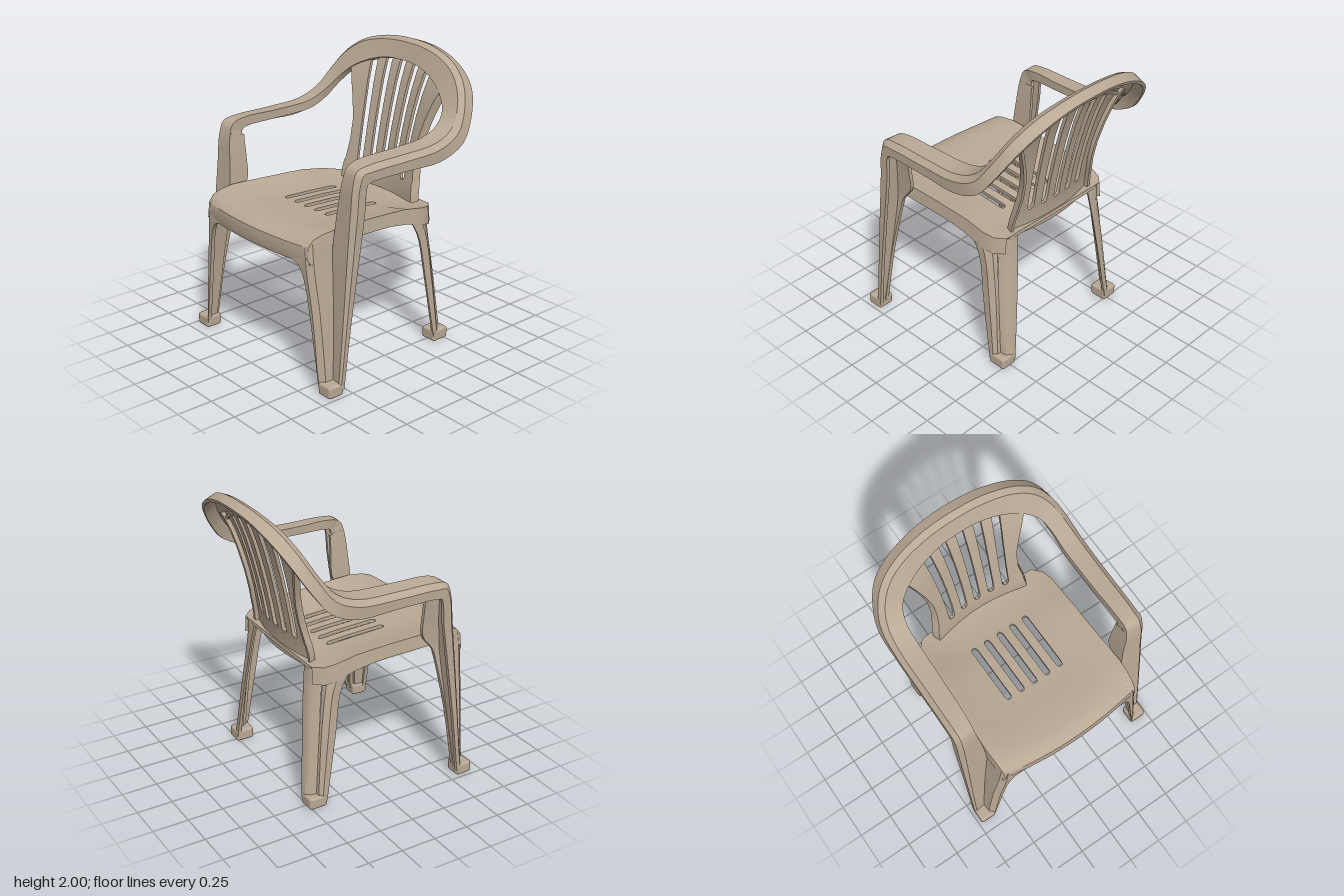
import * as THREE from 'three';
import { toCreasedNormals } from 'three/addons/utils/BufferGeometryUtils.js';
import { RoundedBoxGeometry } from 'three/addons/geometries/RoundedBoxGeometry.js';

const plastic = new THREE.MeshStandardMaterial({ color: 0xb9a894 });
plastic.name = 'beige plastic';

function makeMesh(name, points, index) {
  const geo = new THREE.BufferGeometry().setFromPoints(points);
  geo.setIndex(index);
  const mesh = new THREE.Mesh(toCreasedNormals(geo, 0.6), plastic);
  mesh.name = name;
  return mesh;
}

// Sweeps a channel section with a bevelled corner.
// Each station: inner edge, corner, skirt edge, inner lip depth.
function channel(name, stations, steps, t = 0.024) {
  const curves = [0, 1, 2].map((k) =>
    new THREE.CatmullRomCurve3(stations.map((s) => new THREE.Vector3(...s[k]))));
  const lips = new THREE.CatmullRomCurve3(stations.map((s, i) => new THREE.Vector3(i, s[3] ?? 0.028, 0)));
  const points = [], index = [], n = 9;
  for (let j = 0; j <= steps; j++) {
    const [I, O, S] = curves.map((c) => c.getPoint(j / steps));
    const lip = lips.getPoint(j / steps).y, bevel = Math.min(0.035, 0.35 * O.distanceTo(S));
    const u = O.clone().sub(I).normalize(), v = S.clone().sub(O).normalize();
    const at = (p, a, b) => p.clone().addScaledVector(u, a).addScaledVector(v, b);
    points.push(I, at(O, -bevel, 0), at(O, 0, bevel), S, at(S, -t, 0),
      at(O, -t, t), at(I, t, t), at(I, t, lip), at(I, 0, lip));
    if (j === 0) continue;
    for (let k = 0; k < n; k++) {
      const a = (j - 1) * n + k, b = (j - 1) * n + (k + 1) % n;
      index.push(a, b, b + n, a, b + n, a + n);
    }
  }
  const e = steps * n;
  for (const [a, b, c] of [[0, 1, 2], [0, 2, 5], [2, 3, 5], [3, 4, 5], [0, 5, 6], [0, 6, 7], [0, 7, 8]]) {
    index.push(c, b, a, e + a, e + b, e + c);
  }
  // Turn the faces outward whichever way the sweep runs
  let volume = 0;
  const cross = new THREE.Vector3();
  for (let i = 0; i < index.length; i += 3) {
    volume += points[index[i]].dot(cross.crossVectors(points[index[i + 1]], points[index[i + 2]]));
  }
  if (volume < 0) index.reverse();
  return makeMesh(name, points, index);
}

// Thin shell over a grid of points, leaving out the cells marked as holes
function shell(name, cols, rows, place, isHole, t) {
  const top = [], quads = [];
  for (let j = 0; j < rows; j++) for (let i = 0; i < cols; i++) top.push(place(i, j));
  for (let j = 0; j < rows - 1; j++) {
    for (let i = 0; i < cols - 1; i++) {
      if (isHole(i, j)) continue;
      const a = j * cols + i;
      quads.push([a, a + cols, a + cols + 1, a + 1]);
    }
  }
  const index = [], edges = new Map(), n = top.length;
  for (const q of quads) {
    index.push(q[0], q[1], q[2], q[0], q[2], q[3]);
    q.forEach((p, k) => edges.set(p + '_' + q[(k + 1) % 4], [p, q[(k + 1) % 4]]));
  }
  const sheet = new THREE.BufferGeometry().setFromPoints(top);
  sheet.setIndex([...index]);
  sheet.computeVertexNormals();
  const normal = new THREE.Vector3();
  const under = top.map((p, i) =>
    p.clone().addScaledVector(normal.fromBufferAttribute(sheet.attributes.normal, i), -t));
  for (const [a, b, c, d] of quads) index.push(n + c, n + b, n + a, n + d, n + c, n + a);
  for (const [p, q] of edges.values()) {
    if (!edges.has(q + '_' + p)) index.push(p, p + n, q + n, p, q + n, q);
  }
  return makeMesh(name, [...top, ...under], index);
}

const mirrorStation = ([I, O, S, lip]) =>
  [...[I, O, S].map(([x, y, z]) => [-x, y, z]), lip];

// Upright part of the front leg: height, inner x, front z, skirt z, lip depth
const uprights = [
  [0.04, 0.655, 0.585, 0.555, 0.03], [0.5, 0.60, 0.54, 0.495, 0.03],
  [0.93, 0.55, 0.50, 0.43, 0.07], [1.06, 0.555, 0.487, 0.41, 0.15],
  [1.2, 0.565, 0.473, 0.39, 0.142], [1.375, 0.585, 0.455, 0.37, 0.122],
].map(([y, x, z, skirt, lip]) => [[x, y, z], [0.73, y, z + 0.01], [0.73, y, skirt], lip]);

// Level part of the armrest: z, inner x, height, lip depth
const arm = [
  [0.34, 0.585, 1.495, 0.07], [0.05, 0.575, 1.50, 0.06], [-0.23, 0.57, 1.515, 0.06],
].map(([z, x, y, lip]) => [[x, y, z], [0.73, y - 0.01, z - 0.01], [0.73, 1.39, z - 0.03], lip]);

// Front leg, armrest and top rail, from the left foot to the middle of the back
const railHalf = [
  ...uprights,
  [[0.59, 1.465, 0.42], [0.73, 1.465, 0.43], [0.73, 1.385, 0.345], 0.10],
  ...arm,
  [[0.565, 1.565, -0.36], [0.715, 1.575, -0.40], [0.73, 1.47, -0.45], 0.06],
  [[0.53, 1.645, -0.45], [0.665, 1.71, -0.495], [0.69, 1.61, -0.56], 0.05],
  [[0.45, 1.73, -0.50], [0.57, 1.845, -0.56], [0.60, 1.77, -0.65], 0.05],
  [[0.33, 1.80, -0.54], [0.43, 1.94, -0.60], [0.45, 1.88, -0.70], 0.04],
  [[0.17, 1.85, -0.57], [0.22, 1.995, -0.628], [0.23, 1.955, -0.73], 0.04],
  [[0, 1.86, -0.58], [0, 2.01, -0.635], [0, 1.975, -0.74], 0.04],
];

// Stepped rib on the inner side of each front leg, widening into the seat front
const frontRib = [
  [[0.612, 0.04, 0.67], [0.65, 0.04, 0.672], [0.655, 0.04, 0.585]],
  [[0.535, 0.55, 0.68], [0.60, 0.55, 0.68], [0.60, 0.55, 0.535]],
  [[0.495, 0.76, 0.688], [0.565, 0.78, 0.688], [0.57, 0.78, 0.515]],
  [[0.45, 0.845, 0.695], [0.55, 0.9, 0.69], [0.555, 0.9, 0.505]],
  [[0.38, 0.875, 0.70], [0.535, 1.0, 0.685], [0.55, 1.01, 0.50]],
];

// Back leg: an outer channel and a stepped rib behind it
const backLeg = [
  [[0.53, 0.04, -0.45], [0.575, 0.04, -0.445], [0.575, 0.04, -0.39]],
  [[0.505, 0.5, -0.41], [0.555, 0.5, -0.40], [0.555, 0.5, -0.315]],
  [[0.475, 0.82, -0.37], [0.54, 0.82, -0.355], [0.535, 0.8, -0.265]],
  [[0.46, 0.955, -0.34], [0.53, 0.945, -0.31], [0.53, 0.92, -0.20]],
];
const backRib = [
  [[0.46, 0.04, -0.52], [0.52, 0.04, -0.515], [0.53, 0.04, -0.45]],
  [[0.40, 0.5, -0.478], [0.47, 0.5, -0.475], [0.505, 0.5, -0.41]],
  [[0.355, 0.85, -0.438], [0.44, 0.85, -0.438], [0.475, 0.85, -0.37]],
  [[0.34, 0.97, -0.42], [0.445, 0.965, -0.43], [0.48, 0.955, -0.35]],
];

// Left and right edge of each of the five slots
const slotX = (k, spacing, half) => (Math.floor(k / 2) - 2) * spacing + (k % 2 ? half : -half);

// Rows of the seat from the rear to the lower edge of the front lip: z, rim height, half width, dish depth
const seatRows = [
  [-0.43, 0.985, 0.45, 0], [-0.37, 0.99, 0.505, 0.015], [-0.29, 1.005, 0.525, 0.03],
  [-0.17, 1.025, 0.525, 0.045], [-0.15, 1.03, 0.525, 0.045], [0, 1.04, 0.53, 0.045],
  [0.13, 1.045, 0.53, 0.045], [0.255, 1.05, 0.535, 0.045], [0.275, 1.05, 0.535, 0.045],
  [0.4, 1.055, 0.54, 0.04], [0.52, 1.055, 0.545, 0.03], [0.62, 1.045, 0.54, 0.02],
  [0.69, 1.025, 0.535, 0.01], [0.73, 0.98, 0.53, 0], [0.737, 0.92, 0.53, 0], [0.725, 0.868, 0.53, 0],
];
function seatPoint(i, j) {
  const [z, rim, w, dish] = seatRows[j];
  const side = i < 4 ? -1 : 1, k = i < 4 ? i : 17 - i;
  let x, y = rim - dish;
  if (i >= 4 && i < 14) {
    x = slotX(i - 4, 0.104, j === 3 || j === 8 ? 0.01 : 0.021);
  } else {
    x = side * [w + 0.012, w, 0.88 * w, 0.66 * w][k];
    y = rim - dish * [0, 0, 0.25, 0.85][k];
    if (k === 0) y = Math.max(0.868, rim - 0.09 + Math.min(0, z) * 0.09);
  }
  return new THREE.Vector3(x, y, z - 0.18 * x * x * Math.max(0, z) / 0.735);
}

// Rows of the backrest from bottom to top: height, z at the middle, half width
const backRows = [
  [0.92, -0.42, 0.36], [1.02, -0.425, 0.355], [1.095, -0.437, 0.345], [1.115, -0.442, 0.34],
  [1.25, -0.465, 0.32], [1.4, -0.495, 0.325], [1.55, -0.53, 0.36], [1.7, -0.57, 0.405],
  [1.82, -0.61, 0.44], [1.86, -0.628, 0.45], [1.885, -0.64, 0.455],
];
function backPoint(i, j) {
  const [h, zMid, w] = backRows[j];
  const f = Math.max(0, (h - 1.1) / 0.75), k = Math.min(i, 13 - i);
  const half = j === 2 ? 0.012 : 0.024 + 0.005 * f;
  const x = k < 2 ? Math.sign(i - 6.5) * w : slotX(i - 2, 0.111 + 0.021 * f * f, half);
  const y = h - 0.5 * f * f * x * x;
  return new THREE.Vector3(x, y, zMid + 0.4 * x * x - (k === 0 ? 0.03 : 0));
}

export function createModel() {
  const chair = new THREE.Group();
  chair.name = 'armchair';
  const rail = [...railHalf, ...railHalf.slice(0, -1).reverse().map(mirrorStation)];
  chair.add(channel('frontLegsArmsAndTopRail', rail, 120));
  chair.add(shell('seat', 18, seatRows.length, seatPoint,
    (i, j) => i >= 4 && i < 14 && i % 2 === 0 && j >= 3 && j < 8, 0.024));
  chair.add(shell('backrest', 14, backRows.length, backPoint,
    (i, j) => i >= 2 && i < 12 && i % 2 === 0 && j >= 2 && j < 9, 0.024));

  for (const [label, flip, side] of [['left', (s) => s, 1], ['right', mirrorStation, -1]]) {
    chair.add(channel(label + 'FrontLegRib', frontRib.map(flip), 16));
    chair.add(channel(label + 'BackLeg', backLeg.map(flip), 14, 0.02));
    chair.add(channel(label + 'BackLegRib', backRib.map(flip), 14, 0.02));
    // Foot pads
    for (const [name, x, z, w, d] of [['FrontFoot', 0.67, 0.617, 0.12, 0.118], ['BackFoot', 0.517, -0.455, 0.122, 0.132]]) {
      const foot = new THREE.Mesh(new RoundedBoxGeometry(w, 0.085, d, 2, 0.018), plastic);
      foot.position.set(side * x, 0.0425, z);
      foot.name = label + name;
      chair.add(foot);
    }
  }
  return chair;
}
